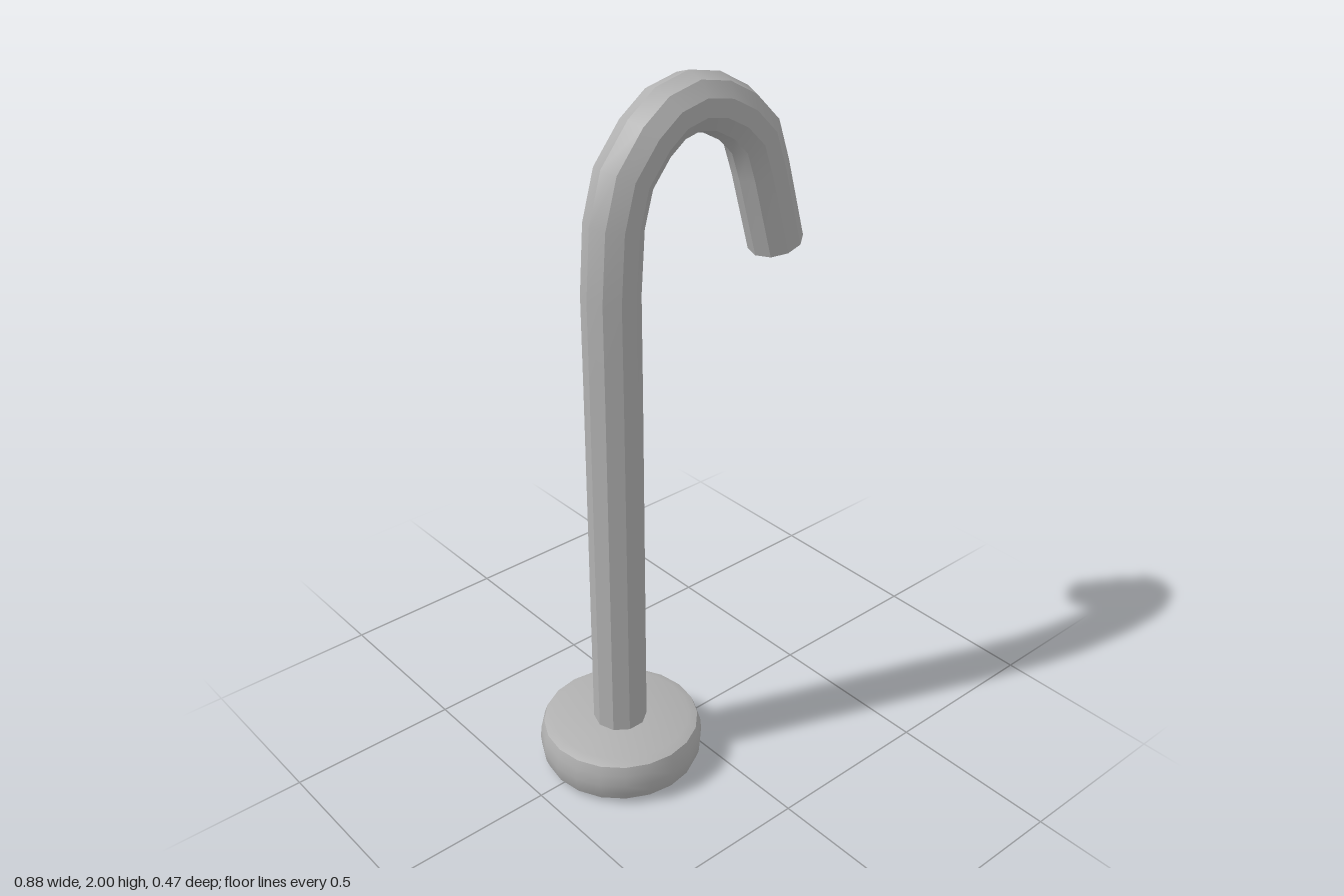
import * as THREE from 'three';
import { toCreasedNormals } from 'three/addons/utils/BufferGeometryUtils.js';

const RADIUS = 0.077, SIDES = 10, CREASE = 0.55;

// Ten-sided pipe swept along a flat path, with mitred bends and closed ends
function pipeGeometry(path) {
  const pts = path.map(([x, y]) => new THREE.Vector2(x, y));
  const last = pts.length - 1;
  const pos = [], index = [];
  pts.forEach((p, i) => {
    const before = p.clone().sub(pts[Math.max(i - 1, 0)]).normalize();
    const after = pts[Math.min(i + 1, last)].clone().sub(p).normalize();
    const t = before.clone().add(after).normalize();
    const miter = 1 / t.dot(i < last ? after : before);
    for (let s = 0; s < SIDES; s++) {
      const a = (s / SIDES) * Math.PI * 2;
      const w = Math.cos(a) * RADIUS * miter;
      pos.push(p.x + t.y * w, p.y - t.x * w, Math.sin(a) * RADIUS);
    }
  });
  for (let i = 0; i < last; i++) {
    for (let s = 0; s < SIDES; s++) {
      const a = i * SIDES + s, b = i * SIDES + (s + 1) % SIDES;
      index.push(a, a + SIDES, b, b, a + SIDES, b + SIDES);
    }
  }
  const end = last * SIDES;
  for (let s = 1; s < SIDES - 1; s++) {
    index.push(0, s, s + 1, end, end + s + 1, end + s);
  }
  const g = new THREE.BufferGeometry();
  g.setAttribute('position', new THREE.Float32BufferAttribute(pos, 3));
  g.setIndex(index);
  return toCreasedNormals(g, CREASE);
}

export function createModel() {
  const group = new THREE.Group();
  group.name = 'faucet';
  const metal = new THREE.MeshStandardMaterial({ color: 0xb0b0b0 });
  metal.name = 'grey metal';

  // Round base with softened rims
  const profile = [
    [0, 0], [0.205, 0.003], [0.225, 0.016], [0.234, 0.04], [0.237, 0.07],
    [0.234, 0.105], [0.225, 0.13], [0.2, 0.14], [0, 0.142],
  ].map(([r, y]) => new THREE.Vector2(r, y));
  const base = new THREE.Mesh(
    toCreasedNormals(new THREE.LatheGeometry(profile, 20), CREASE), metal);
  base.name = 'base';
  base.position.x = -0.203;
  group.add(base);

  // Upright spout with hooked end
  const spout = new THREE.Mesh(pipeGeometry([
    [-0.205, 0.1], [-0.205, 1.2], [-0.206, 1.48], [-0.193, 1.66],
    [-0.16, 1.775], [-0.09, 1.86], [-0.025, 1.907], [0.05, 1.923],
    [0.125, 1.907], [0.2, 1.865], [0.265, 1.8], [0.3, 1.7], [0.365, 1.473],
  ]), metal);
  spout.name = 'spout';
  group.add(spout);
  return group;
}
